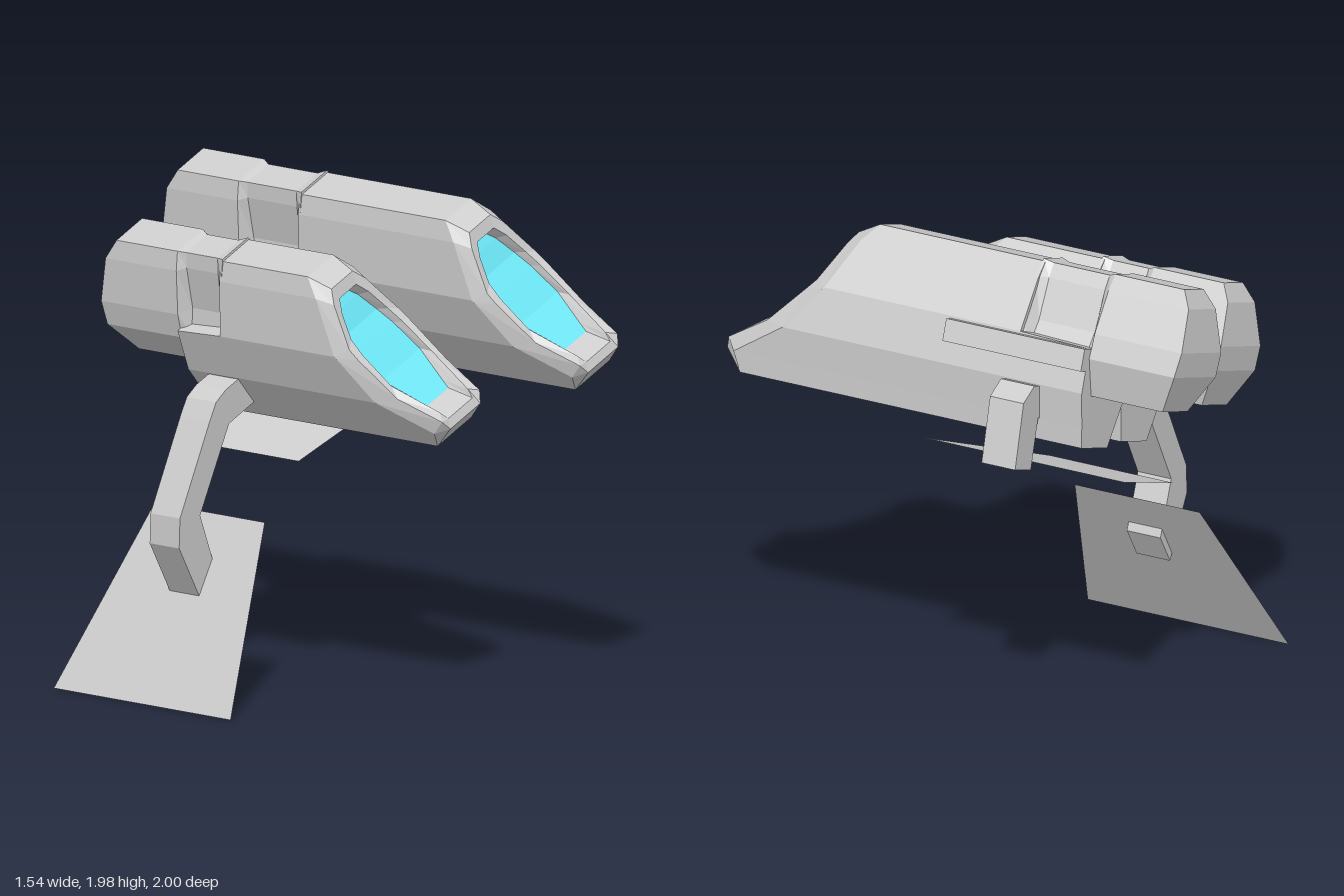
import * as THREE from 'three';

const grey = new THREE.MeshStandardMaterial({ color: 0xcccccc, flatShading: true });
const sheet = new THREE.MeshStandardMaterial({ color: 0xcccccc, flatShading: true, side: THREE.DoubleSide });
const glassMat = new THREE.MeshStandardMaterial({ color: 0x6ae3f2, flatShading: true });

// A symmetric loop from rows of [height, halfWidth, z]: up the +x side, down the -x side
function loop(rows) {
  const right = rows.map(([v, h, z]) => [h, v, z]);
  const left = rows.map(([v, h, z]) => [-h, v, z]).reverse();
  return [...right, ...left];
}

// Skins loops from rear to front; ends are closed by strips from side to side
function skin(loops, capRear, capFront) {
  const pos = [];
  const quad = (a, b, c, d) => [a, b, c, a, c, d].forEach((p) => pos.push(...p));
  const n = loops[0].length;
  for (let i = 0; i < loops.length - 1; i++)
    for (let j = 0; j < n; j++) {
      const k = (j + 1) % n;
      quad(loops[i][j], loops[i][k], loops[i + 1][k], loops[i + 1][j]);
    }
  for (let k = 0; k < n / 2 - 1; k++) {
    const cap = (l) => [l[k], l[k + 1], l[n - 2 - k], l[n - 1 - k]];
    if (capFront) quad(...cap(loops[loops.length - 1]));
    if (capRear) quad(...cap(loops[0]).reverse());
  }
  const g = new THREE.BufferGeometry();
  g.setAttribute('position', new THREE.Float32BufferAttribute(pos, 3));
  g.computeVertexNormals();
  return g;
}

function add(parent, name, geometry, material = grey) {
  const m = new THREE.Mesh(geometry, material);
  m.name = name;
  parent.add(m);
  return m;
}

// One pod: front shifts the slanted nose, rear shifts the tail
function pod(name, x, y, front, rear) {
  const g = new THREE.Group();
  g.name = name;
  g.position.set(x, y, 0);
  g.rotation.z = 0.367;

  const V = [0, 0.08, 0.22, 0.4, 0.41, 0.62, 0.69];
  const H = [0.113, 0.143, 0.197, 0.2, 0.2, 0.125, 0.085];
  const nose = (vs, hs, zs) => loop(vs.map((v, i) => [v, hs[i], zs[i] + front]));
  const low = -0.61 + rear;

  // Hull, raised window frame and recess, with a longer lower rear
  const hullRear = loop(V.map((v, i) => [v, H[i], i < 4 ? low : -0.3]));
  const hullFront = nose(V, H, [0.92, 0.95, 0.73, 0.59, 0.58, 0.49, 0.44]);
  const frameOuter = nose([0.085, 0.13, 0.23, 0.39, 0.43, 0.59, 0.64],
    [0.1, 0.125, 0.16, 0.166, 0.163, 0.105, 0.07], [1, 0.99, 0.82, 0.67, 0.635, 0.56, 0.535]);
  const frameInner = nose([0.12, 0.15, 0.27, 0.39, 0.45, 0.54, 0.59],
    [0.08, 0.092, 0.135, 0.132, 0.122, 0.088, 0.055], [0.985, 0.96, 0.78, 0.67, 0.62, 0.575, 0.55]);
  const recess = nose([0.155, 0.18, 0.28, 0.39, 0.45, 0.53, 0.56],
    [0.07, 0.08, 0.125, 0.118, 0.105, 0.07, 0.047], [0.88, 0.85, 0.73, 0.63, 0.575, 0.53, 0.51]);
  add(g, 'hull', skin([hullRear, hullFront, frameOuter, frameInner, recess], true, false));
  add(g, 'window', skin([recess], false, true), glassMat);

  // Tail block with a narrower notched neck
  const tv = [0.21, 0.36, 0.46, 0.63, 0.7];
  const full = [0.11, 0.185, 0.175, 0.12, 0.085];
  const slim = [0.11, 0.16, 0.115, 0.09, 0.07];
  const back = [-0.93, -0.99, -1, -0.97, -0.92];
  const ring = (hs, z) => loop(tv.map((v, i) => [Math.min(v, hs === slim ? 0.69 : 1), hs[i], z]));
  add(g, 'tail', skin([
    loop(tv.map((v, i) => [v, full[i], back[i] + rear])),
    ring(full, low), ring(slim, low + 0.03), ring(slim, -0.33), ring(full, -0.29),
  ], true, true));

  // Side rail
  const len = 0.62 - rear;
  const rail = add(g, 'sideRail', new THREE.BoxGeometry(0.06, 0.09, len));
  rail.position.set(0.21, 0.355, 0.01 - len / 2);
  return g;
}

// Thin trapezoid vane: narrow edge at (x0, y0), wide edge at (x1, y1)
function vane(x0, y0, x1, y1) {
  const c = -0.36, n = 0.28, w = 0.45;
  const g = new THREE.BufferGeometry();
  g.setAttribute('position', new THREE.Float32BufferAttribute([
    x0, y0, c - n, x0, y0, c + n, x1, y1, c + w, x1, y1, c - w], 3));
  g.setIndex([0, 1, 2, 0, 2, 3]);
  g.computeVertexNormals();
  return g;
}

export function createModel() {
  const model = new THREE.Group();
  model.name = 'twinPodLauncher';

  model.add(pod('shortPod', -0.025, 1.11, -0.3, 0.09));
  model.add(pod('longPod', 0.465, 1.295, 0, 0));

  // Bent support arm under both pods
  const arm = new THREE.Shape([
    [-0.51, 0.38], [-0.43, 0.51], [-0.52, 0.73], [-0.34, 1.07], [0.58, 1.43], [0.64, 1.23],
    [0.77, 1.28], [0.7, 1.54], [0.61, 1.58], [0.56, 1.56], [-0.36, 1.21], [-0.42, 1.17],
    [-0.46, 1.1], [-0.645, 0.74], [-0.65, 0.62],
  ].map(([x, y]) => new THREE.Vector2(x, y)));
  add(model, 'supportArm', new THREE.ExtrudeGeometry(arm, { depth: 0.15, bevelEnabled: false }))
    .position.z = -0.42;

  // Flat vanes
  add(model, 'lowerVane', vane(-0.35, 0.7, -0.77, 0), sheet);
  add(model, 'underVane', vane(-0.14, 0.91, 0.59, 1.24), sheet);
  return model;
}
